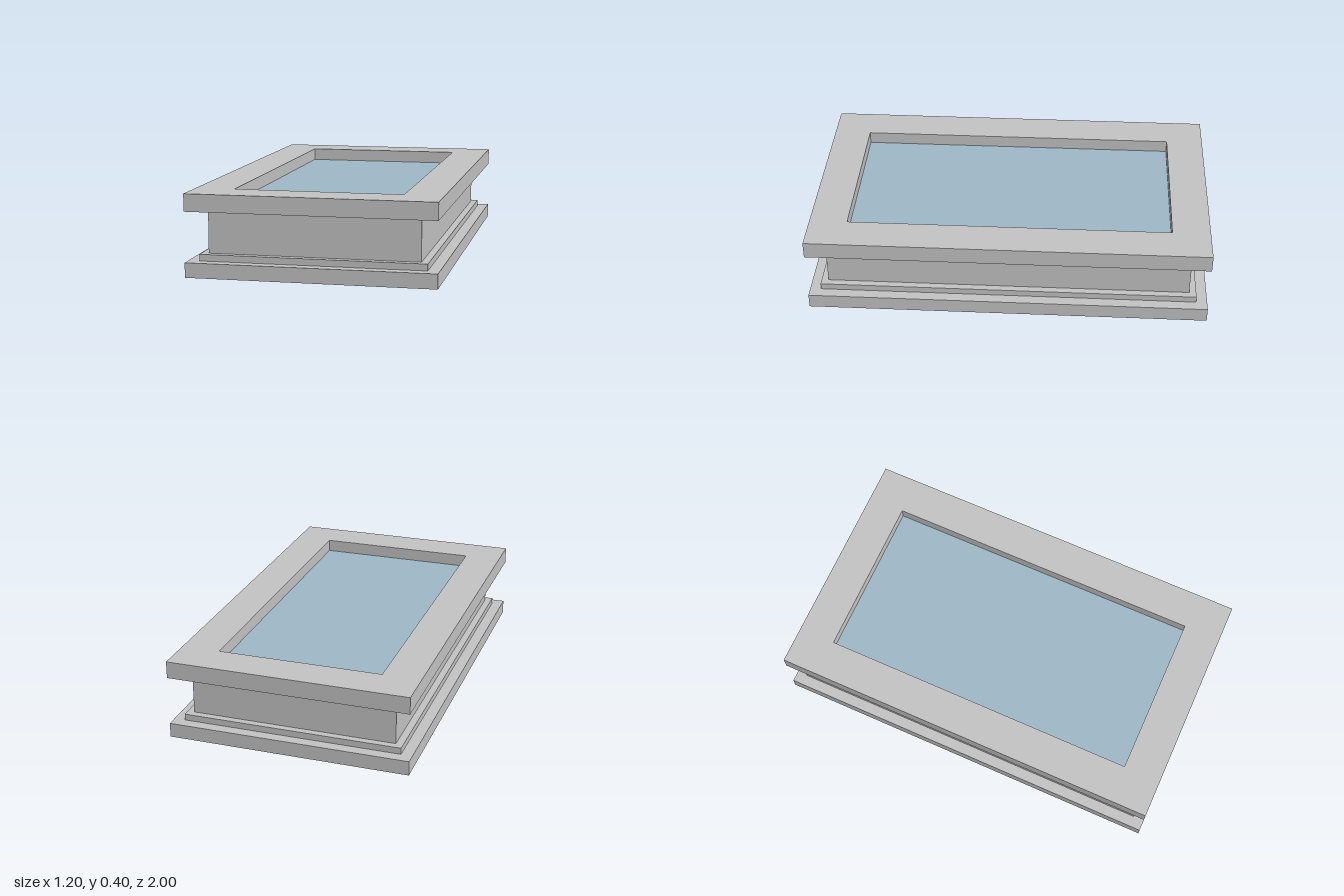
import * as THREE from 'three';

export function createModel() {
  const model = new THREE.Group();
  model.name = 'fountainBasin';

  const stone = new THREE.MeshStandardMaterial({ color: 0xc4c4c4 });
  stone.name = 'stone';
  const waterBlue = new THREE.MeshStandardMaterial({ color: 0x9fb9c7 });
  waterBlue.name = 'waterBlue';

  const add = (name, geometry, material, y) => {
    const mesh = new THREE.Mesh(geometry, material);
    mesh.name = name;
    mesh.position.y = y;
    model.add(mesh);
  };

  // Stacked slabs: name, width, depth, bottom, top
  const slabs = [
    ['plinth', 1.2, 2, 0, 0.072],
    ['plinthStep', 1.09, 1.89, 0.072, 0.104],
    ['basinWall', 1.02, 1.82, 0.104, 0.315],
  ];
  for (const [name, w, d, y0, y1] of slabs) {
    add(name, new THREE.BoxGeometry(w, y1 - y0, d), stone, (y0 + y1) / 2);
  }

  // Overhanging rim with a rectangular opening
  const rectangle = (path, x, z) =>
    path.moveTo(-x, -z).lineTo(x, -z).lineTo(x, z).lineTo(-x, z).closePath();
  const rimShape = rectangle(new THREE.Shape(), 0.6, 1);
  rimShape.holes.push(rectangle(new THREE.Path(), 0.41, 0.81));
  const rim = new THREE.ExtrudeGeometry(rimShape, { depth: 0.085, bevelEnabled: false });
  rim.rotateX(-Math.PI / 2);
  add('rim', rim, stone, 0.315);

  // Water surface, set below the rim
  const water = new THREE.PlaneGeometry(0.82, 1.62);
  water.rotateX(-Math.PI / 2);
  add('water', water, waterBlue, 0.337);

  return model;
}
